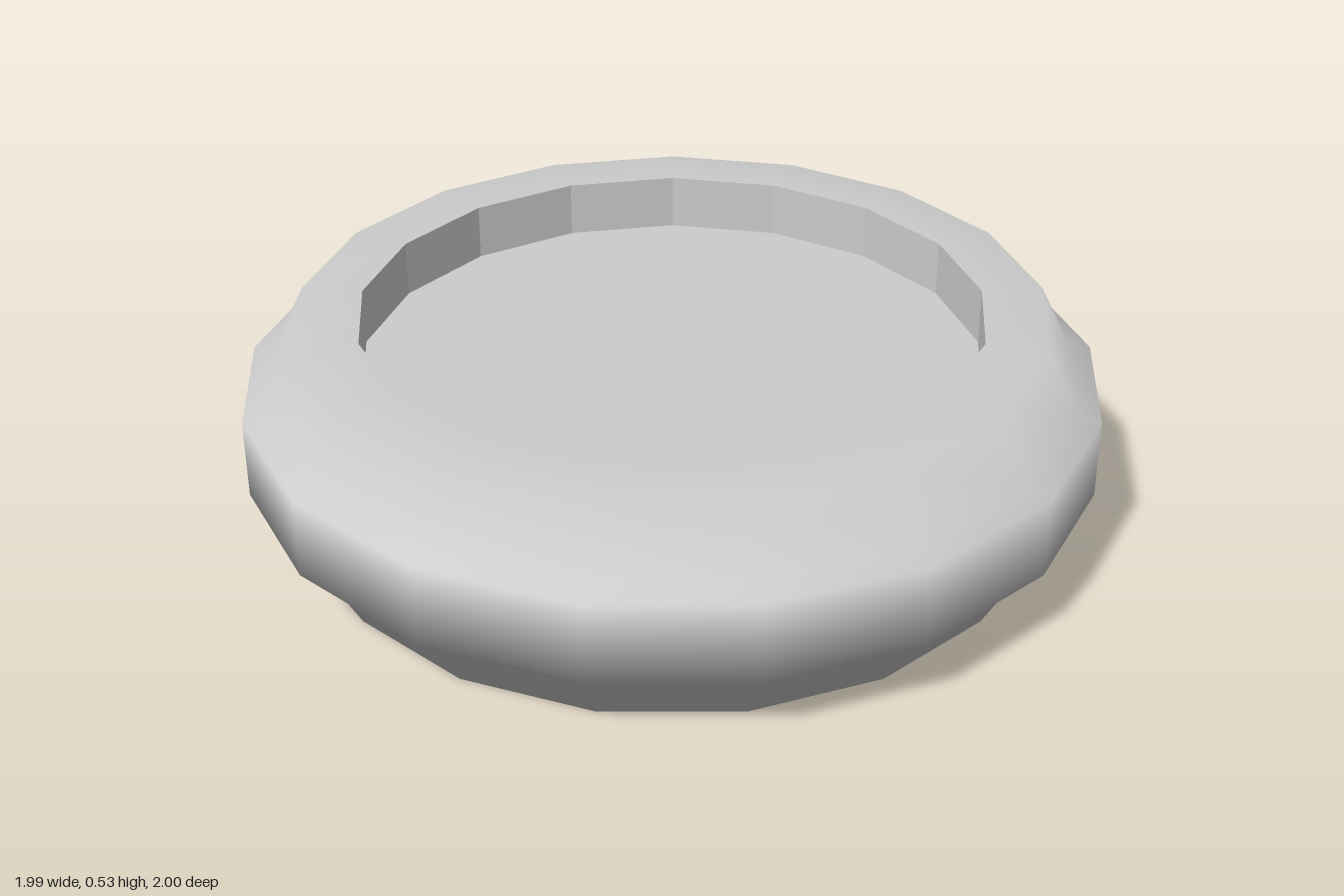
import * as THREE from 'three';

const SIDES = 17;
const material = new THREE.MeshStandardMaterial({ color: 0xcccccc });

// Turn a profile, one corner towards +x
function turn(profile) {
  const points = profile.map(([r, y]) => new THREE.Vector2(r, y));
  return new THREE.LatheGeometry(points, SIDES, Math.PI / 2);
}

// Soft shading: tilt[j] is the angle in degrees of the normal above the horizon
function shade(geometry, tilt) {
  const normal = geometry.attributes.normal;
  for (let i = 0; i <= SIDES; i++) {
    const phi = Math.PI / 2 + (i / SIDES) * Math.PI * 2;
    tilt.forEach((degrees, j) => {
      const t = THREE.MathUtils.degToRad(degrees);
      normal.setXYZ(i * tilt.length + j,
        Math.sin(phi) * Math.cos(t), Math.sin(t), Math.cos(phi) * Math.cos(t));
    });
  }
  return geometry;
}

function flat(geometry) {
  const faceted = geometry.toNonIndexed();
  faceted.computeVertexNormals();
  return faceted;
}

export function createModel() {
  const group = new THREE.Group();
  group.name = 'shallowDish';
  const add = (name, geometry) => {
    const mesh = new THREE.Mesh(geometry, material);
    mesh.name = name;
    mesh.position.x = -0.0085; // an odd number of sides is off centre
    group.add(mesh);
  };

  // Underside, belt around the middle and rim, in one soft skin
  const shell = [
    [0, 0], [0.863, 0], [0.95, 0.16], [1.004, 0.18],
    [1.004, 0.367], [0.95, 0.382], [0.875, 0.53], [0.73, 0.53],
  ];
  add('body', shade(turn(shell), [-90, -85, -65, -52, 52, 60, 82, 90]));

  // Sunken top
  add('recessWall', flat(turn([[0.73, 0.53], [0.73, 0.395]])));
  add('recessFloor', shade(turn([[0.73, 0.395], [0, 0.395]]), [90, 90]));

  return group;
}
